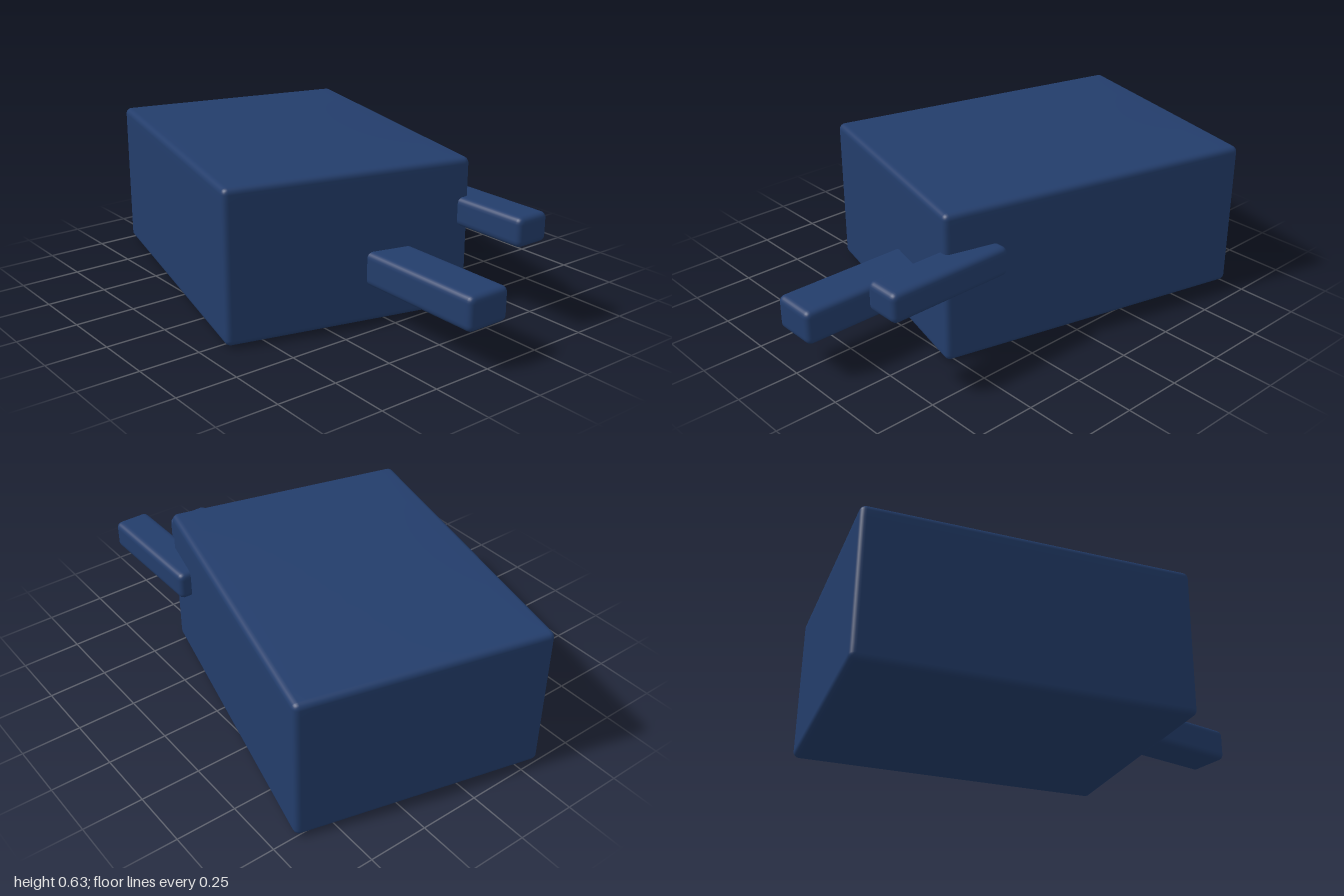
import * as THREE from 'three';
import { mergeVertices } from 'three/addons/utils/BufferGeometryUtils.js';

const material = new THREE.MeshStandardMaterial({ color: 0x233d6b });

// Box with rounded edges; bulge lifts the middle of the top and bottom slightly.
function softBox(w, h, d, r, bulge = 0) {
  const n = 24;
  const half = new THREE.Vector3(w, h, d).multiplyScalar(0.5);
  const inner = half.clone().subScalar(r);
  const geo = new THREE.BoxGeometry(2, 2, 2, n, n, n);
  geo.deleteAttribute('normal');
  geo.deleteAttribute('uv');
  const pos = geo.attributes.position;
  const p = new THREE.Vector3();
  const core = new THREE.Vector3();
  // Outer quarter of each axis goes to the rounded edge, the rest to the flat
  const spread = (t, i, o) => {
    const a = Math.abs(t);
    const k = 0.75;
    return Math.sign(t) * (a < k ? (a / k) * i : i + ((a - k) / (1 - k)) * (o - i));
  };
  for (let i = 0; i < pos.count; i++) {
    p.fromBufferAttribute(pos, i);
    p.set(spread(p.x, inner.x, half.x), spread(p.y, inner.y, half.y), spread(p.z, inner.z, half.z));
    core.copy(p).clamp(inner.clone().negate(), inner);
    p.sub(core).setLength(r).add(core);
    const u = p.x / half.x, v = p.z / half.z;
    p.y += bulge * (p.y / half.y) * (1 - u * u) * (1 - v * v);
    pos.setXYZ(i, p.x, p.y, p.z);
  }
  const welded = mergeVertices(geo, 1e-5);
  welded.computeVertexNormals();
  return welded;
}

export function createModel() {
  const group = new THREE.Group();
  const add = (name, geo, x, y, z) => {
    const mesh = new THREE.Mesh(geo, material);
    mesh.name = name;
    mesh.position.set(x, y, z);
    group.add(mesh);
    return mesh;
  };

  // Main block, turned slightly about the vertical
  const body = add('body', softBox(1.34, 0.622, 1.025, 0.025, 0.006), -0.23, 0.318, 0);
  body.rotation.y = -THREE.MathUtils.degToRad(13.9);

  // Two prongs sticking out of the side
  add('frontProng', softBox(0.64, 0.14, 0.194, 0.025), 0.677, 0.23, -0.002);
  add('rearProng', softBox(0.54, 0.12, 0.155, 0.025), 0.59, 0.41, -0.364);

  return group;
}
